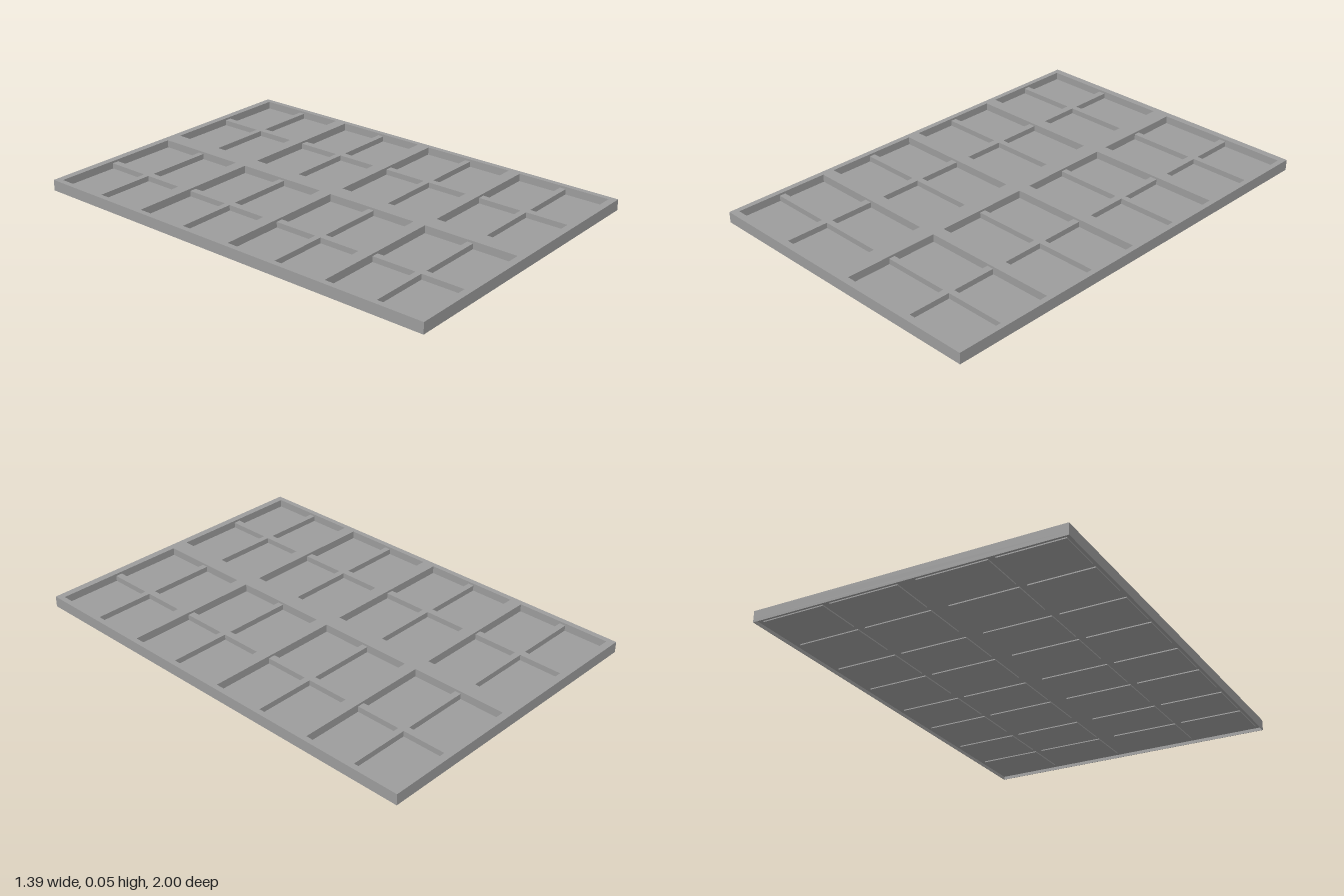
import * as THREE from 'three';

const W = 0.695, L = 1;                      // half width, half length
const TOP = 0.05, BASE = 0.015, BAR = 0.04;  // rail top, rail underside, glazing bar top
const PANEL = 0.01;                          // underside of the recessed panels
const X_IN = 0.04, X_OUT = 0.67;             // opening, measured from the centre line
const BAR_X = 0.367, BAR_W = 0.032;
const ROWS = [-0.7475, -0.25, 0.25, 0.7475], HALF_Z = 0.22;

const rect = (Type, x0, x1, z0, z1) => new Type([
  new THREE.Vector2(x0, z0), new THREE.Vector2(x1, z0),
  new THREE.Vector2(x1, z1), new THREE.Vector2(x0, z1),
]);

// Extrude a plan shape (x, -z) upwards between two heights
function slab(shape, y0, y1) {
  const g = new THREE.ExtrudeGeometry(shape, { depth: y1 - y0, bevelEnabled: false });
  g.rotateX(-Math.PI / 2);
  g.translate(0, y0, 0);
  return g;
}

export function createModel() {
  const model = new THREE.Group();
  const mat = new THREE.MeshStandardMaterial({ color: 0x9c9c9c, flatShading: true, side: THREE.DoubleSide });
  const add = (parent, name, geometry) => {
    const mesh = new THREE.Mesh(geometry, mat);
    mesh.name = name;
    parent.add(mesh);
    return mesh;
  };
  const box = (parent, name, x0, x1, y0, y1, z0, z1) => {
    const mesh = add(parent, name, new THREE.BoxGeometry(x1 - x0, y1 - y0, z1 - z0));
    mesh.position.set((x0 + x1) / 2, (y0 + y1) / 2, (z0 + z1) / 2);
  };

  // Main frame with eight openings
  const frame = rect(THREE.Shape, -W, W, -L, L);
  for (const z of ROWS) for (const s of [-1, 1])
    frame.holes.push(rect(THREE.Path, s * X_IN, s * X_OUT, -z - HALF_Z, -z + HALF_Z));
  add(model, 'frame', slab(frame, BASE, TOP));

  // Thin skirt around the open underside
  const skirt = rect(THREE.Shape, -W, W, -L, L);
  const t = 0.002;
  skirt.holes.push(rect(THREE.Path, -W + t, W - t, -L + t, L - t));
  add(model, 'skirt', slab(skirt, 0, BASE));

  // Each opening: four recessed panels divided by a cross of glazing bars
  for (const z of ROWS) for (const s of [-1, 1]) {
    const bay = new THREE.Group();
    bay.name = 'windowBay';
    const x0 = s > 0 ? X_IN : -X_OUT, x1 = s > 0 ? X_OUT : -X_IN;
    const bx = s * BAR_X, h = BAR_W / 2, v = 0.014;
    box(bay, 'longBar', bx - h, bx + h, BASE, BAR, z - HALF_Z, z + HALF_Z);
    for (const [a, b] of [[x0, bx - h], [bx + h, x1]]) {
      box(bay, 'crossBar', a, b, BASE, BAR, z - v, z + v);
      box(bay, 'backPanel', a, b, PANEL, BASE, z - HALF_Z, z - v);
      box(bay, 'frontPanel', a, b, PANEL, BASE, z + v, z + HALF_Z);
    }
    model.add(bay);
  }
  return model;
}
